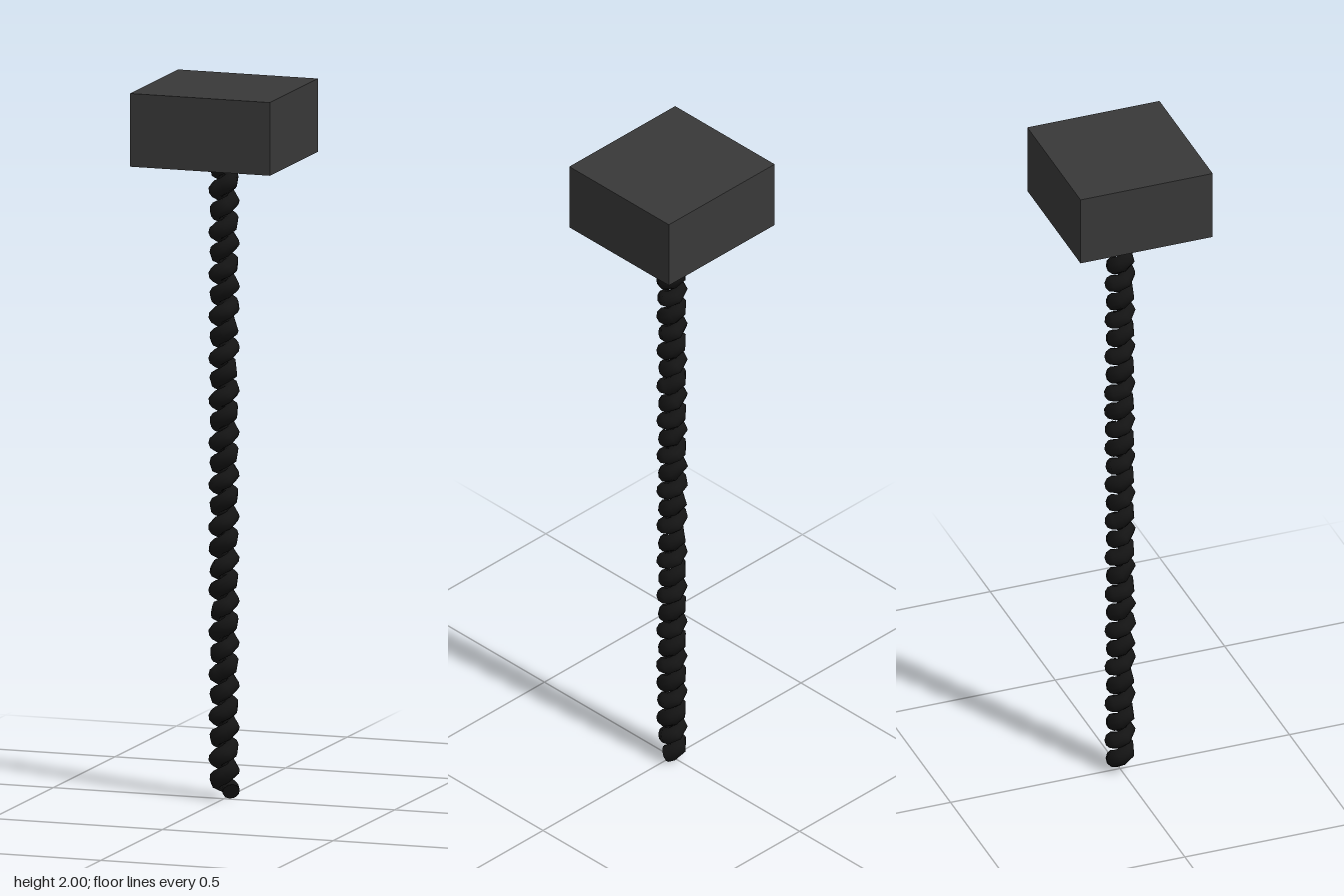
import * as THREE from 'three';

// Straight-sided spiral path, six steps per turn
class SpiralCurve extends THREE.CurvePath {
  constructor(radius, pitch, bottom, top) {
    super();
    const step = Math.PI / 3;
    const count = Math.ceil((top - bottom) / (pitch / 6));
    const point = (i) => new THREE.Vector3(
      radius * Math.cos(i * step), bottom + (i * pitch) / 6, -radius * Math.sin(i * step));
    for (let i = 0; i < count; i++) this.add(new THREE.LineCurve3(point(i), point(i + 1)));
    this.steps = count;
  }
}

export function createModel() {
  const model = new THREE.Group();

  // Block head
  const headMaterial = new THREE.MeshStandardMaterial({ color: 0x383838 });
  const head = new THREE.Mesh(new THREE.BoxGeometry(0.41, 0.205, 0.39), headMaterial);
  head.name = 'head';
  head.position.y = 1.8975;
  model.add(head);

  // Coiled handle, running up into the head
  const handleMaterial = new THREE.MeshStandardMaterial({ color: 0x141414, side: THREE.DoubleSide });
  const path = new SpiralCurve(0.021, 0.059, 0.025, 1.83);
  const handle = new THREE.Mesh(new THREE.TubeGeometry(path, path.steps, 0.024, 10, false), handleMaterial);
  handle.name = 'handle';
  model.add(handle);

  // Cap closing the lower end of the coil
  const tangent = path.getTangentAt(0);
  const cap = new THREE.Mesh(new THREE.CircleGeometry(0.024, 10), handleMaterial);
  cap.name = 'handleEnd';
  cap.position.copy(path.getPointAt(0));
  cap.quaternion.setFromUnitVectors(new THREE.Vector3(0, 0, 1), tangent.negate());
  model.add(cap);

  return model;
}
